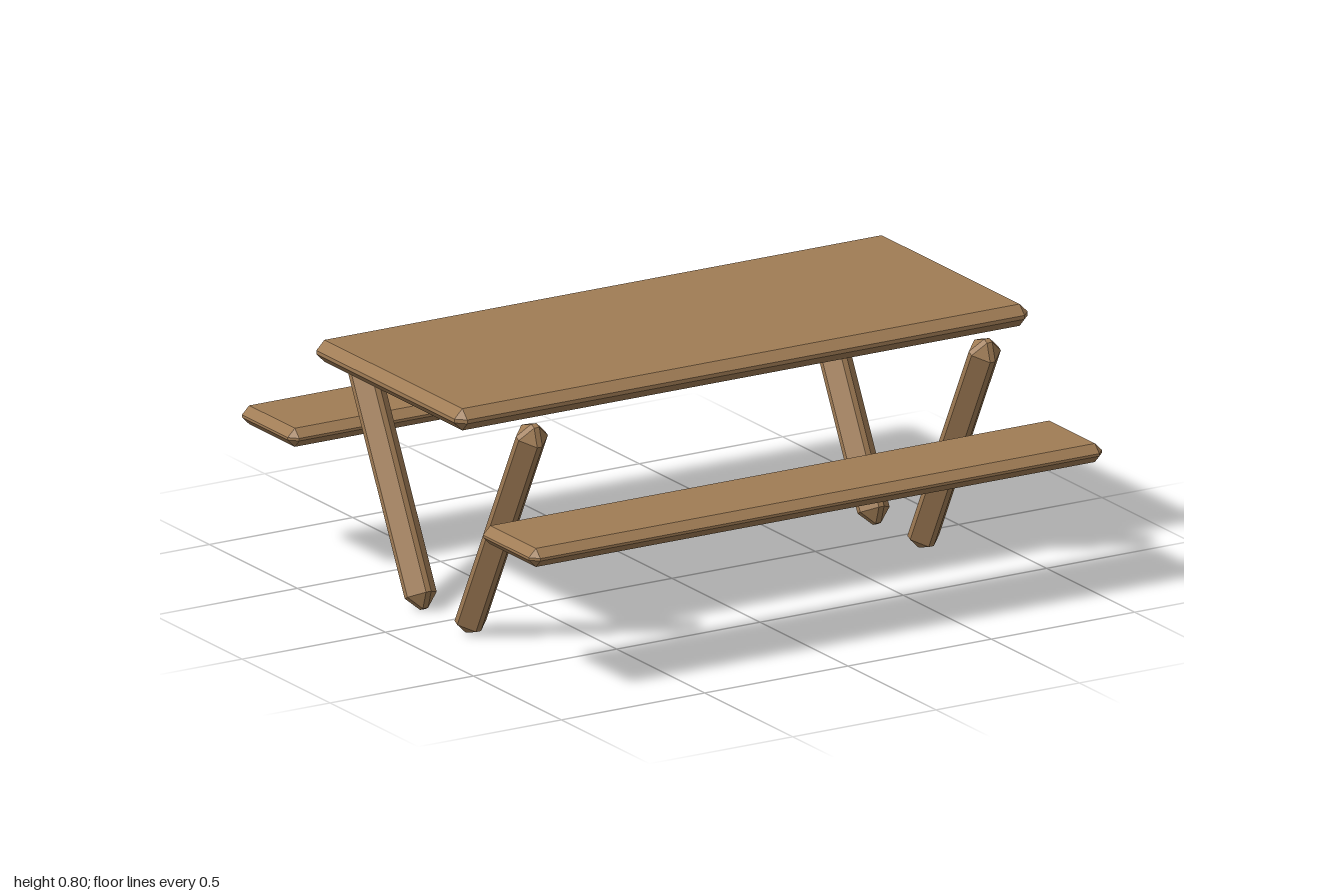
import * as THREE from 'three';
import { ConvexGeometry } from 'three/addons/geometries/ConvexGeometry.js';

// Box with every edge and corner cut by one flat chamfer
function chamferedBox(width, height, depth, bevel) {
  const points = [];
  const [x, y, z] = [width / 2, height / 2, depth / 2];
  for (const sx of [-1, 1]) for (const sy of [-1, 1]) for (const sz of [-1, 1]) {
    points.push(
      new THREE.Vector3(sx * x, sy * (y - bevel), sz * (z - bevel)),
      new THREE.Vector3(sx * (x - bevel), sy * y, sz * (z - bevel)),
      new THREE.Vector3(sx * (x - bevel), sy * (y - bevel), sz * z),
    );
  }
  return new ConvexGeometry(points);
}

export function createModel() {
  const group = new THREE.Group();
  group.name = 'picnicTable';

  const wood = new THREE.MeshStandardMaterial({ color: 0xa07c55 });
  wood.name = 'wood';

  function add(name, geometry, x, y, z, tilt = 0) {
    const mesh = new THREE.Mesh(geometry, wood);
    mesh.name = name;
    mesh.position.set(x, y, z);
    mesh.rotation.x = tilt;
    group.add(mesh);
  }

  // Table top
  add('tableTop', chamferedBox(2, 0.068, 0.84, 0.028), 0, 0.768, 0);

  // Benches and outward-leaning legs, front and back
  const bench = chamferedBox(2, 0.058, 0.31, 0.025);
  const leg = chamferedBox(0.102, 0.84, 0.102, 0.042);
  for (const [end, sz] of [['front', 1], ['back', -1]]) {
    add(end + 'Bench', bench, 0, 0.453, sz * 0.685);
    for (const [side, sx] of [['Left', 1], ['Right', -1]]) {
      add(end + side + 'Leg', leg, sx * 0.79, 0.378, sz * 0.316, sz * 0.48);
    }
  }
  return group;
}
